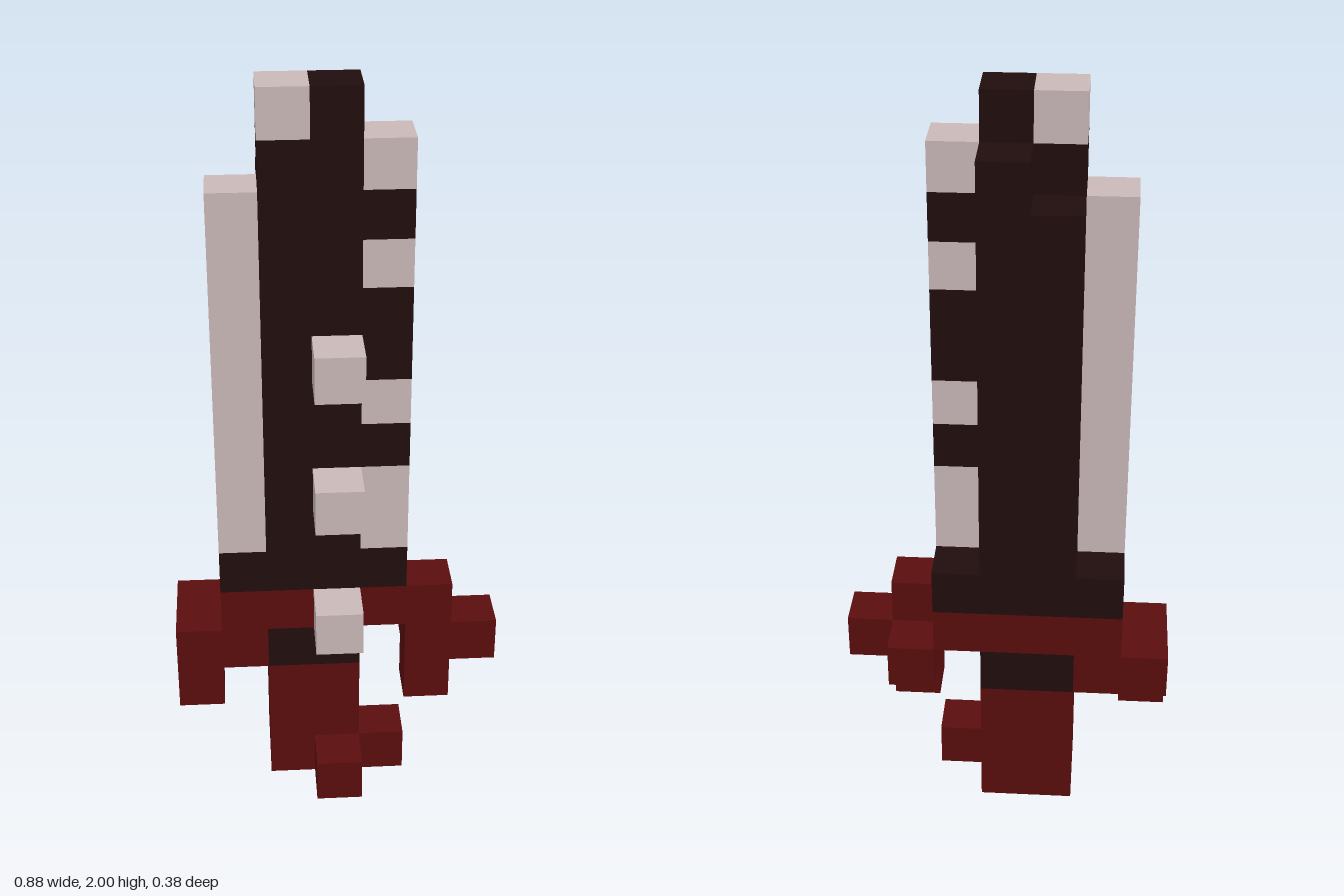
import * as THREE from 'three';

const U = 0.125; // one block

const ivory = new THREE.MeshStandardMaterial({ name: 'ivory', color: 0xc9b8b7 });
const crimson = new THREE.MeshStandardMaterial({ name: 'crimson', color: 0x5a0d0d });
const darkSteel = new THREE.MeshStandardMaterial({ name: 'darkSteel', color: 0x210d0d });

// Box given by its first block (column, level, layer from the back) and its size in blocks
function block(parent, name, material, [x, y, z], [w, h, d]) {
  const mesh = new THREE.Mesh(new THREE.BoxGeometry(w * U, h * U, d * U), material);
  mesh.name = name;
  mesh.position.set((x + w / 2 - 3.5) * U, (y + h / 2) * U, (z + d / 2 - 1.5) * U);
  parent.add(mesh);
}

function part(parent, name) {
  const group = new THREE.Group();
  group.name = name;
  parent.add(group);
  return group;
}

export function createModel() {
  const model = new THREE.Group();
  model.name = 'sword';

  // Handle with pommel knobs
  const handle = part(model, 'handle');
  block(handle, 'grip', crimson, [2, 0, 0], [2, 3, 2]);
  block(handle, 'collar', darkSteel, [2, 3, 0], [2, 1, 2]);
  block(handle, 'pommelSideKnob', crimson, [4, 0, 1], [1, 1, 1]);
  block(handle, 'pommelFrontKnob', crimson, [3, 0, 2], [1, 1, 1]);

  // Crossguard with uneven drooping arms
  const guard = part(model, 'guard');
  block(guard, 'guardBar', crimson, [1, 4, 0], [4, 1, 2]);
  block(guard, 'rightArm', crimson, [0, 3, 0], [2, 1, 2]);
  block(guard, 'rightClaw', crimson, [0, 2, 1], [1, 1, 1]);
  block(guard, 'leftShoulder', crimson, [5, 4, 1], [1, 1, 1]);
  block(guard, 'leftArm', crimson, [5, 3, 0], [1, 1, 2]);
  block(guard, 'leftSpike', crimson, [6, 3, 1], [1, 1, 1]);
  block(guard, 'leftClaw', crimson, [5, 2, 1], [1, 1, 1]);

  // Blade core, stepped at the tip
  const blade = part(model, 'blade');
  block(blade, 'bladeBase', darkSteel, [1, 5, 0], [4, 1, 2]);
  block(blade, 'coreRight', darkSteel, [2, 6, 1], [1, 9, 1]);
  block(blade, 'coreLeft', darkSteel, [3, 6, 1], [1, 10, 1]);
  block(blade, 'spineRight', darkSteel, [2, 6, 0], [1, 8, 1]);
  block(blade, 'spineLeft', darkSteel, [3, 6, 0], [1, 9, 1]);
  block(blade, 'cuttingEdge', ivory, [1, 6, 1], [1, 8, 1]);
  block(blade, 'tip', ivory, [2, 15, 1], [1, 1, 1]);

  // Serrated edge: alternating teeth and gaps, [level, height]
  for (const [y, h] of [[6, 2], [9, 1], [12, 1], [14, 1]])
    block(blade, 'tooth', ivory, [4, y, 1], [1, h, 1]);
  for (const [y, h] of [[8, 1], [10, 2], [13, 1]])
    block(blade, 'toothGap', darkSteel, [4, y, 1], [1, h, 1]);

  // Studs standing out of the front
  for (const y of [4, 7, 10]) block(model, 'stud', ivory, [3, y, 2], [1, 1, 1]);

  return model;
}
